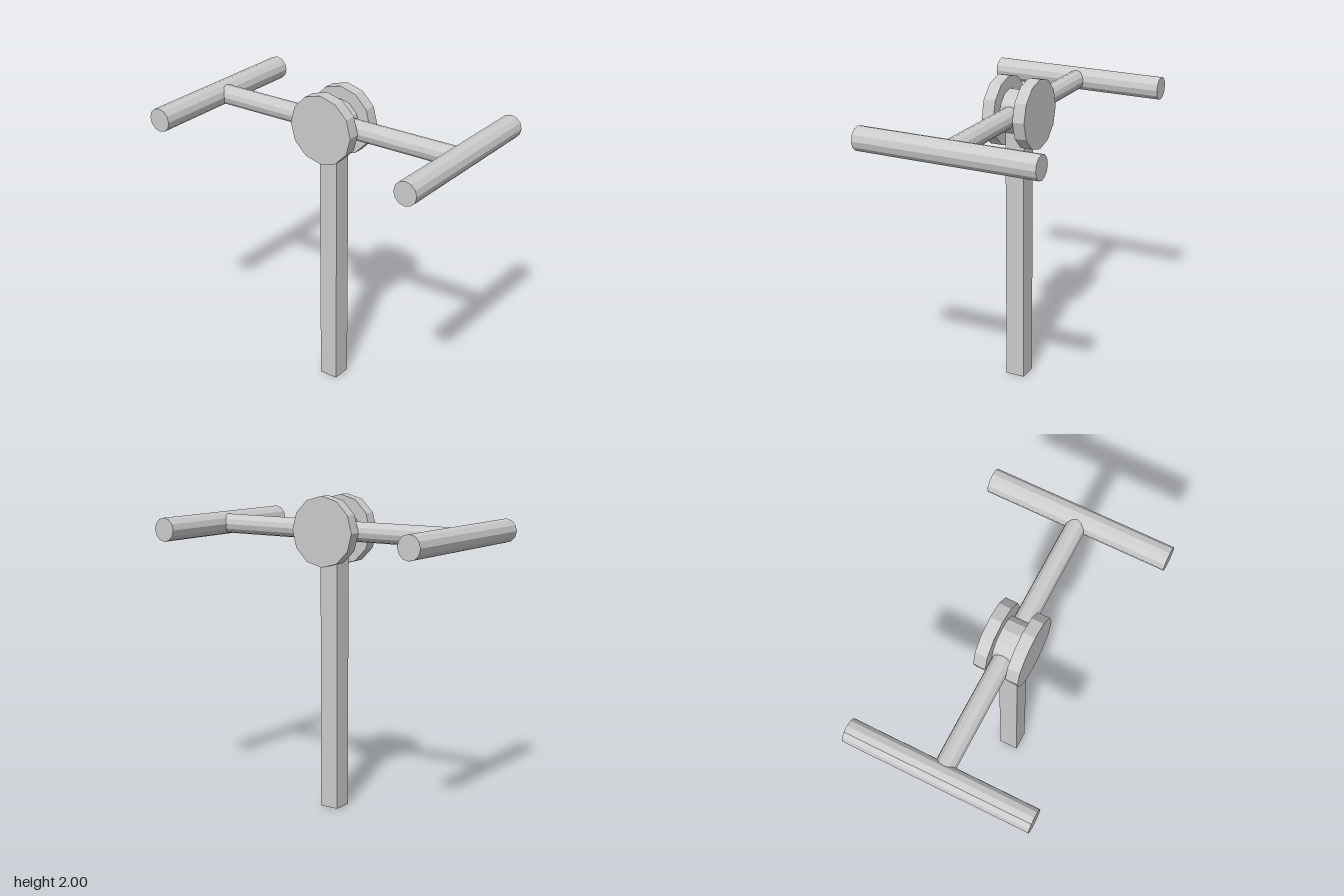
import * as THREE from 'three';

export function createModel() {
  const group = new THREE.Group();
  const mat = new THREE.MeshStandardMaterial({ color: 0xcccccc, flatShading: true });
  const hubY = 1.78, handleX = 0.889;

  function add(name, geometry, x, y, z) {
    const mesh = new THREE.Mesh(geometry, mat);
    mesh.name = name;
    mesh.position.set(x, y, z);
    group.add(mesh);
    return mesh;
  }
  const rod = (r, length) => new THREE.CylinderGeometry(r, r, length, 12);
  const rodZ = (r, length) => rod(r, length).rotateX(Math.PI / 2);

  // Square post, its top buried in the hub core
  add('post', new THREE.BoxGeometry(0.125, 1.7, 0.125), 0, 0.85, 0);

  // Spool-shaped hub: narrow core between two discs
  add('hubCore', rodZ(0.14, 0.14), 0, hubY, 0);
  add('frontDisc', rodZ(0.22, 0.078), 0, hubY, 0.103);
  add('backDisc', rodZ(0.22, 0.078), 0, hubY, -0.103);

  // Crossbar and the handle at each end
  add('crossbar', rod(0.0625, handleX * 2).rotateZ(Math.PI / 2), 0, hubY, 0);
  add('leftHandle', rodZ(0.075, 1.165), handleX, hubY, 0);
  add('rightHandle', rodZ(0.075, 1.165), -handleX, hubY, 0);

  return group;
}
